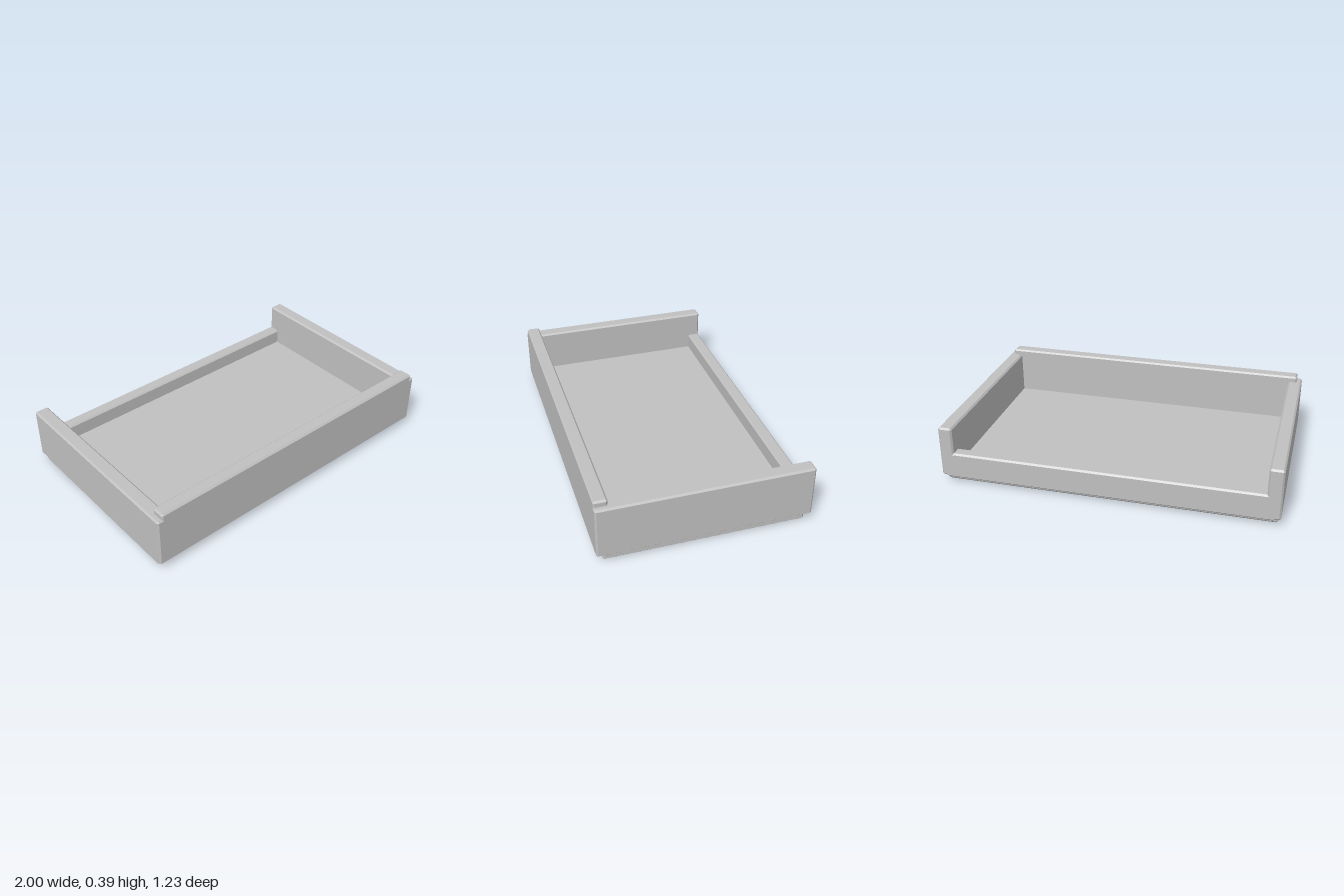
import * as THREE from 'three';
import { ConvexGeometry } from 'three/addons/geometries/ConvexGeometry.js';

// Box between two corners with every edge cut by a flat chamfer c
function chamferBox([x0, y0, z0], [x1, y1, z1], c) {
  const hx = (x1 - x0) / 2, hy = (y1 - y0) / 2, hz = (z1 - z0) / 2;
  const points = [];
  for (const sx of [-1, 1]) for (const sy of [-1, 1]) for (const sz of [-1, 1]) {
    points.push(
      new THREE.Vector3(sx * hx, sy * (hy - c), sz * (hz - c)),
      new THREE.Vector3(sx * (hx - c), sy * hy, sz * (hz - c)),
      new THREE.Vector3(sx * (hx - c), sy * (hy - c), sz * hz));
  }
  return new ConvexGeometry(points).translate((x0 + x1) / 2, (y0 + y1) / 2, (z0 + z1) / 2);
}

export function createModel() {
  const model = new THREE.Group();
  model.name = 'tray';
  const grey = new THREE.MeshStandardMaterial({ color: 0xc0c0c0 });
  grey.name = 'plain grey';

  const add = (name, from, to, c = 0.01) => {
    const mesh = new THREE.Mesh(chamferBox(from, to, c), grey);
    mesh.name = name;
    model.add(mesh);
  };

  // Inset plinth and the raised floor above it
  add('base', [-0.985, 0, -0.58], [0.985, 0.07, 0.58], 0.013);
  add('floor', [-0.95, 0.03, -0.58], [0.95, 0.1, 0.58]);

  // Side walls run the full depth
  add('leftWall', [0.915, 0.042, -0.615], [1, 0.357, 0.615]);
  add('rightWall', [-1, 0.042, -0.615], [-0.915, 0.357, 0.615]);

  // Tall front wall stands above the sides, low back wall leaves an opening
  add('frontWall', [-0.97, 0.042, 0.535], [0.97, 0.392, 0.615]);
  add('backWall', [-0.97, 0.034, -0.615], [0.97, 0.195, -0.54]);

  return model;
}
